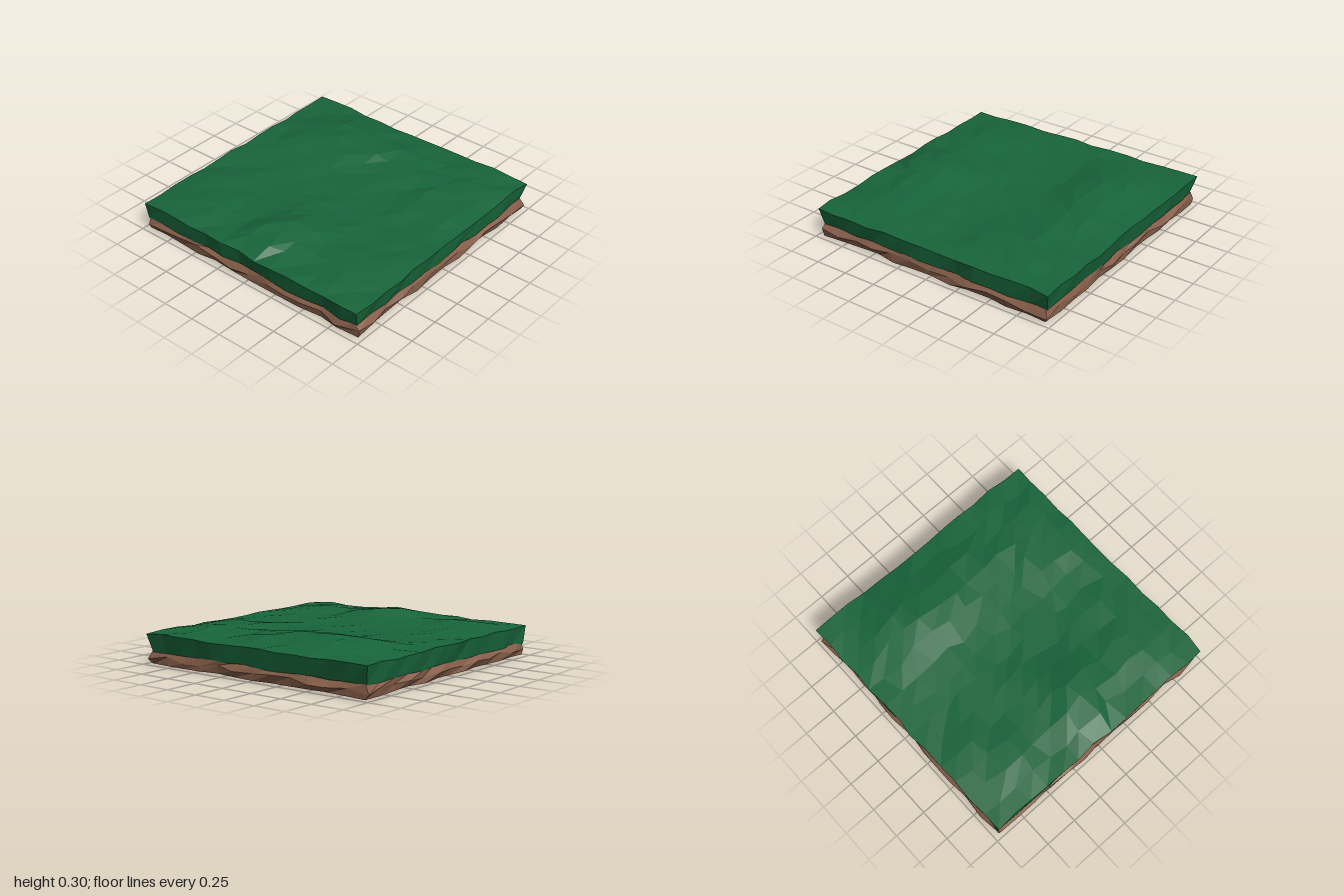
import * as THREE from 'three';

// Repeatable noise in -1..1, the same for coincident vertices
function noise(x, y, z, seed) {
  const s = Math.sin(x * 127.1 + y * 311.7 + z * 74.7 + seed * 53.3) * 43758.5453;
  return 2 * (s - Math.floor(s)) - 1;
}

// Mounds of the ground: x, z, height, radius x, radius z
const MOUNDS = [
  [-0.42, -0.58, 0.075, 0.36, 0.3],
  [0.05, 0.65, 0.075, 0.28, 0.3],
  [0.68, -0.5, 0.035, 0.3, 0.35],
  [0.68, 0.62, 0.025, 0.3, 0.3],
  [-0.65, 0.6, 0.03, 0.3, 0.3],
  [0.1, -0.62, 0.04, 0.3, 0.25],
];

function groundHeight(x, z) {
  let h = 0.228;
  for (const [cx, cz, height, rx, rz] of MOUNDS) {
    const d = ((x - cx) / rx) ** 2 + ((z - cz) / rz) ** 2;
    h += height * Math.exp(-(d ** 1.4));
  }
  return h;
}

// A subdivided block whose vertices are moved by shape(x, level, z, isEdge)
function slab(name, color, levels, segments, shape) {
  const geo = new THREE.BoxGeometry(2, 2, 2, segments, levels, segments);
  const pos = geo.attributes.position;
  const v = new THREE.Vector3();
  for (let i = 0; i < pos.count; i++) {
    v.fromBufferAttribute(pos, i);
    const x = Math.round(v.x * 1000) / 1000, z = Math.round(v.z * 1000) / 1000;
    const level = Math.round(((v.y + 1) / 2) * levels);
    const isEdge = Math.max(Math.abs(x), Math.abs(z)) > 0.99;
    pos.setXYZ(i, ...shape(x, level, z, isEdge));
  }
  const flat = geo.toNonIndexed();
  flat.computeVertexNormals();
  const mesh = new THREE.Mesh(flat, new THREE.MeshStandardMaterial({ color, flatShading: true }));
  mesh.name = name;
  return mesh;
}

export function createModel() {
  const group = new THREE.Group();
  group.name = 'groundTile';

  // Grass: uneven top, sides leaning in towards the underside
  group.add(slab('grass', 0x17653a, 1, 13, (x, level, z, isEdge) => {
    const n = (seed) => noise(x, level, z, seed);
    const size = level ? 0.98 : 0.955;
    const wobble = isEdge ? 0.011 : 0.03;
    const y = level
      ? (isEdge ? 0.23 + 0.008 * n(1) : groundHeight(x, z) + 0.009 * n(1))
      : 0.1 + 0.008 * n(1);
    return [x * size + wobble * n(2), y, z * size + wobble * n(3)];
  }));

  // Soil: rough sides, widest at mid height, with a nearly flat bottom
  const sizes = [0.955, 0.97, 0.945];
  const heights = [0.011, 0.06, 0.105];
  group.add(slab('soil', 0x875f4a, 2, 12, (x, level, z) => {
    const n = (seed) => noise(x, level, z, seed + 9);
    const lift = level === 1 ? 0.02 : level ? 0.01 : 0.006;
    return [x * sizes[level] + 0.015 * n(2), heights[level] + lift * n(1), z * sizes[level] + 0.015 * n(3)];
  }));

  return group;
}
